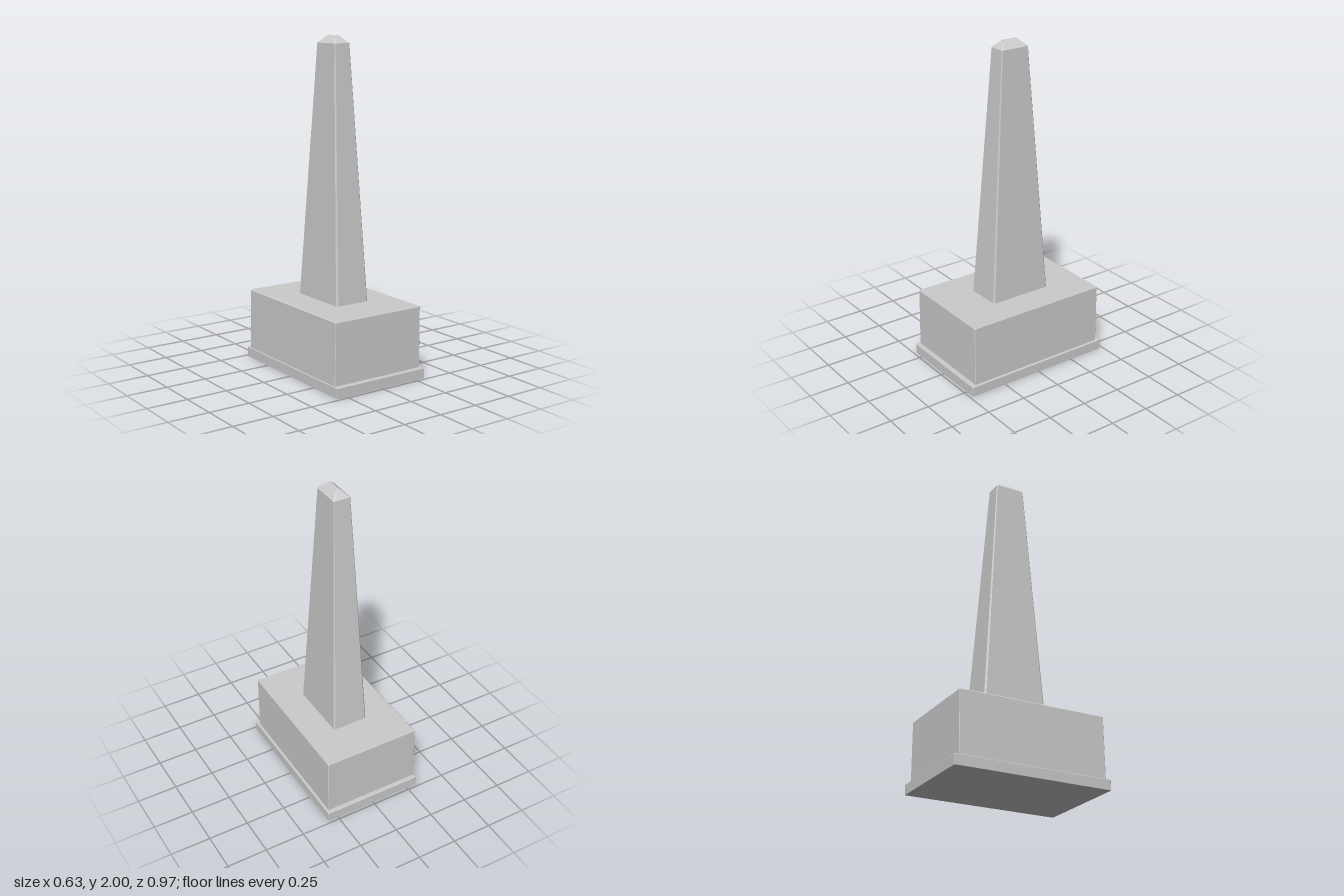
import * as THREE from 'three';

// Rectangular ring with chamfered corners, counter-clockwise seen from above
function ring([y, x0, x1, z0, z1, c]) {
  return [
    [x1 - c, z1], [x1, z1 - c], [x1, z0 + c], [x1 - c, z0],
    [x0 + c, z0], [x0, z0 + c], [x0, z1 - c], [x0 + c, z1],
  ].map(([x, z]) => [x, y, z]);
}

// Closed, faceted solid lofted through a stack of rings from bottom to top
function loft(name, sections, material) {
  const rings = sections.map(ring);
  const n = rings[0].length;
  const pos = [];
  const tri = (a, b, c) => pos.push(...a, ...b, ...c);
  for (let k = 0; k < rings.length - 1; k++) {
    const lo = rings[k], hi = rings[k + 1];
    for (let i = 0; i < n; i++) {
      const j = (i + 1) % n;
      tri(lo[i], lo[j], hi[j]);
      tri(lo[i], hi[j], hi[i]);
    }
  }
  const bottom = rings[0], top = rings[rings.length - 1];
  for (let i = 1; i < n - 1; i++) {
    tri(bottom[0], bottom[i + 1], bottom[i]);
    tri(top[0], top[i], top[i + 1]);
  }
  const geo = new THREE.BufferGeometry();
  geo.setAttribute('position', new THREE.Float32BufferAttribute(pos, 3));
  geo.computeVertexNormals();
  const mesh = new THREE.Mesh(geo, material);
  mesh.name = name;
  return mesh;
}

export function createModel() {
  const model = new THREE.Group();
  model.name = 'obelisk';
  const stone = new THREE.MeshStandardMaterial({ color: 0xcccccc, flatShading: true });

  // Each section: y, x min, x max, z min, z max, corner chamfer
  model.add(loft('plinth', [
    [0, -0.316, 0.316, -0.483, 0.483, 0.003],
    [0.06, -0.316, 0.316, -0.483, 0.483, 0.003],
    [0.063, -0.313, 0.313, -0.48, 0.48, 0.003],
  ], stone));

  // Pedestal block, with one side leaning slightly inwards
  model.add(loft('pedestal', [
    [0.06, -0.311, 0.301, -0.456, 0.454, 0.003],
    [0.43, -0.305, 0.301, -0.456, 0.454, 0.003],
    [0.436, -0.299, 0.297, -0.452, 0.45, 0.003],
  ], stone));

  // Tapering shaft with chamfered corners
  model.add(loft('shaft', [
    [0.43, -0.11, 0.118, -0.208, 0.192, 0.01],
    [1.955, -0.049, 0.057, -0.098, 0.084, 0.005],
  ], stone));

  // Hipped cap ending in a narrow ridge
  model.add(loft('cap', [
    [1.955, -0.049, 0.057, -0.098, 0.084, 0.005],
    [2, -0.001, 0.009, -0.053, 0.039, 0.001],
  ], stone));

  return model;
}
